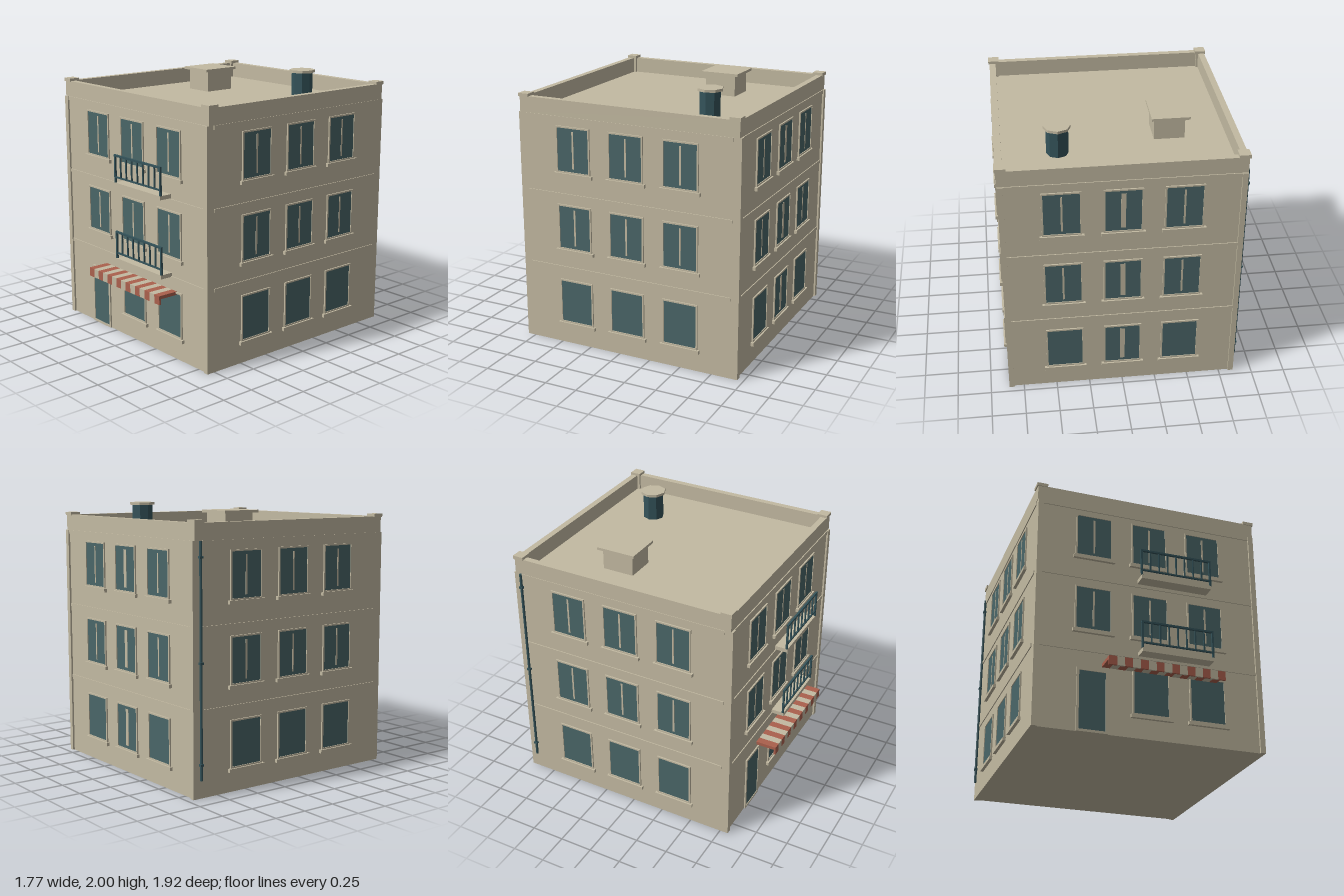
import * as THREE from 'three';

const mat = (name, color) => {
  const m = new THREE.MeshStandardMaterial({ color });
  m.name = name;
  return m;
};

export function createModel() {
  const stone = mat('stone', 0xc3baa2);
  const glass = mat('glass', 0x4a6668);
  const iron = mat('iron', 0x34535a);
  const red = mat('awningRed', 0xab604d);
  const model = new THREE.Group();
  model.name = 'apartmentBuilding';

  const CZ = -0.07, HX = 0.862, HZ = 0.87, ROOF = 1.78;

  const add = (parent, name, geo, material, x = 0, y = 0, z = 0) => {
    const m = new THREE.Mesh(geo, material);
    m.name = name;
    m.position.set(x, y, z);
    parent.add(m);
    return m;
  };
  // box given by its limits on each axis
  const box = (parent, name, material, x0, x1, y0, y1, z0, z1) =>
    add(parent, name, new THREE.BoxGeometry(x1 - x0, y1 - y0, z1 - z0), material,
      (x0 + x1) / 2, (y0 + y1) / 2, (z0 + z1) / 2);
  // rectangular surround with an opening
  const frame = (parent, name, w, y0, y1, rim, x) => {
    const s = new THREE.Shape();
    s.moveTo(-w / 2, y0).lineTo(w / 2, y0).lineTo(w / 2, y1).lineTo(-w / 2, y1).closePath();
    const h = new THREE.Path(), a = w / 2 - rim;
    h.moveTo(-a, y0 + rim).lineTo(-a, y1 - rim).lineTo(a, y1 - rim).lineTo(a, y0 + rim).closePath();
    s.holes.push(h);
    add(parent, name, new THREE.ExtrudeGeometry(s, { depth: 0.011, bevelEnabled: false }), stone, x);
  };

  // main block
  box(model, 'walls', stone, -HX, HX, 0, ROOF, CZ - HZ, CZ + HZ);

  // one window; the wall plane is local z = 0
  const windowAt = (parent, x, base, mullion) => {
    const g = new THREE.Group();
    g.name = 'window';
    g.position.set(x, base, 0);
    parent.add(g);
    frame(g, 'windowFrame', 0.28, 0.025, 0.375, 0.012, 0);
    box(g, 'windowPane', glass, -0.13, 0.13, 0.036, 0.364, 0, 0.005);
    box(g, 'windowSill', stone, -0.157, 0.157, 0, 0.026, -0.005, 0.023);
    if (mullion) box(g, 'mullion', stone, -mullion / 2, mullion / 2, 0.06, 0.34, 0.004, 0.007);
  };

  // four facades: front, left, back, right
  ['front', 'left', 'back', 'right'].forEach((name, i) => {
    const g = new THREE.Group();
    g.name = name + 'Facade';
    const a = i * Math.PI / 2;
    g.position.set(Math.sin(a) * HX, 0, CZ + Math.cos(a) * HZ);
    g.rotation.y = a;
    model.add(g);
    [0.145, 0.74, 1.335].forEach((base, floor) => {
      [-0.43, 0, 0.43].forEach((x, col) => {
        if (i === 0 && floor === 0 && col === 0) return; // door goes here
        windowAt(g, x, base, i === 2 && col === 1 ? 0.035 : floor > 0 ? 0.014 : 0);
      });
    });
    // string courses between floors and under the parapet
    for (const [y0, y1] of [[0.6, 0.625], [1.175, 1.2], [1.75, 1.78]])
      box(g, 'stringCourse', stone, -0.825, 0.825, y0, y1, -0.005, 0.007);
    // corner pilasters on front and back
    if (i % 2 === 0) for (const s of [-1, 1])
      box(g, 'pilaster', stone, s * 0.842 - 0.02, s * 0.842 + 0.02, 0, ROOF, -0.01, 0.014);
    if (i === 0) {
      frame(g, 'doorFrame', 0.23, 0, 0.47, 0.018, -0.435);
      box(g, 'door', glass, -0.535, -0.335, 0.012, 0.452, 0, 0.006);
    }
  });

  // parapet with corner posts and caps
  for (const s of [-1, 1]) {
    const x = s * (HX - 0.021), z = CZ + s * (HZ - 0.024);
    box(model, 'parapet', stone, x - 0.024, x + 0.024, ROOF, 1.9, CZ - HZ, CZ + HZ);
    box(model, 'parapet', stone, -HX + 0.045, HX - 0.045, ROOF, 1.9, z - 0.024, z + 0.024);
    for (const t of [-1, 1]) {
      const px = s * 0.833, pz = CZ + t * 0.835;
      box(model, 'cornerPost', stone, px - 0.032, px + 0.032, ROOF, 1.9, pz - 0.034, pz + 0.034);
      box(model, 'cornerCap', stone, px - 0.041, px + 0.041, 1.895, 1.92, pz - 0.041, pz + 0.041);
    }
  }

  // roof hatch
  box(model, 'roofHatch', stone, -0.51, -0.285, ROOF, 1.94, -0.41, -0.165);
  box(model, 'hatchLid', stone, -0.543, -0.263, 1.94, 1.96, -0.44, -0.135);

  // roof vent
  const vent = new THREE.CylinderGeometry(0.08, 0.08, 0.2, 8).toNonIndexed();
  vent.computeVertexNormals();
  add(model, 'roofVent', vent, iron, 0.42, 1.88, -0.52);
  const lid = new THREE.CylinderGeometry(0.098, 0.098, 0.02, 8).toNonIndexed();
  lid.computeVertexNormals();
  add(model, 'ventCap', lid, stone, 0.42, 1.99, -0.52);

  // balconies with railings
  for (const y of [0.62, 1.205]) {
    const b = new THREE.Group();
    b.name = 'balcony';
    b.position.y = y;
    model.add(b);
    box(b, 'balconySlab', stone, -0.095, 0.45, 0, 0.03, 0.79, 0.9);
    box(b, 'topRail', iron, -0.1, 0.455, 0.227, 0.241, 0.884, 0.9);
    box(b, 'bottomRail', iron, -0.1, 0.455, 0.066, 0.077, 0.886, 0.898);
    for (let i = 0; i <= 8; i++) {
      const end = i % 8 === 0, w = end ? 0.007 : 0.005, x = -0.092 + i * 0.0674;
      box(b, 'railingBar', iron, x - w, x + w, end ? 0.03 : 0.07, 0.23, 0.892 - w, 0.892 + w);
    }
  }

  // striped awning with a hanging valance
  for (let i = 0; i < 15; i++) {
    const x0 = -0.365 + i * 0.058, x1 = x0 + 0.058, m = i % 2 ? stone : red;
    box(model, 'awningStripe', m, x0, x1, 0.497, 0.522, 0.795, 0.96);
    box(model, 'valanceStripe', m, x0, x1, 0.455, 0.497, 0.946, 0.96);
  }

  // drainpipe with brackets
  add(model, 'drainpipe', new THREE.CylinderGeometry(0.01, 0.01, 1.65, 8), iron, -0.873, 0.955, -0.895);
  for (const y of [0.24, 0.95, 1.67])
    box(model, 'pipeBracket', iron, -0.886, -0.86, y - 0.008, y + 0.008, -0.909, -0.881);

  return model;
}
